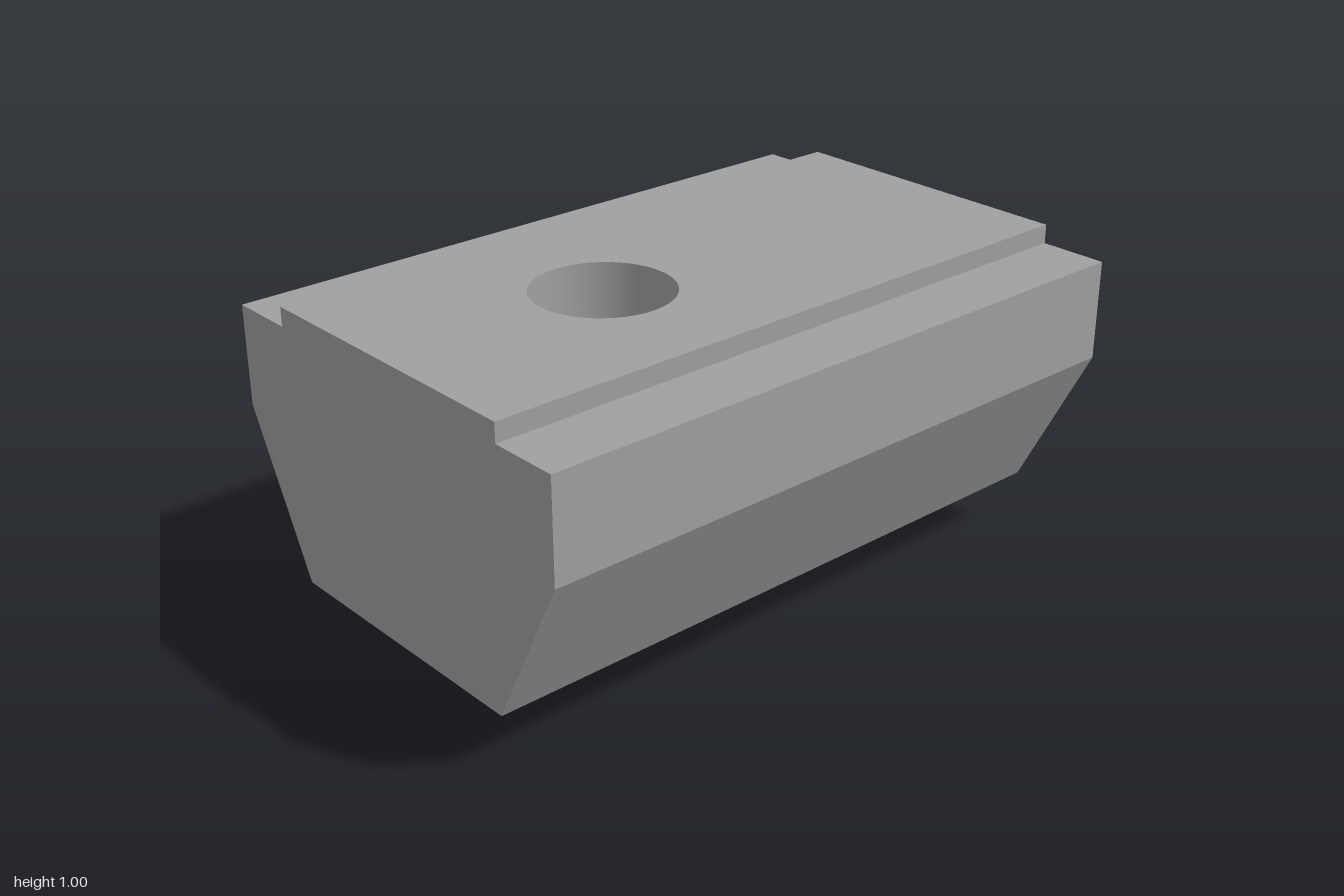
import * as THREE from 'three';

const HALF_LENGTH = 1;
const BOTTOM = 0.178, TOP = 1;
const HOLE = { z: 0.29, r: 0.204 };
const BALL = { z: -0.527, r: 0.176 };

// Right half of the cross-section, from bottom to top; mirrored for the other half
const half = [[0.44, BOTTOM], [0.675, 0.645], [0.675, 0.943], [0.468, 0.943], [0.468, TOP]];
const profile = [...half, ...half.map(([x, y]) => [-x, y]).reverse()];

// Flat rectangle with the round bore cut out
function drilledPlate(halfWidth, holeY) {
  const shape = new THREE.Shape([
    new THREE.Vector2(-halfWidth, -HALF_LENGTH), new THREE.Vector2(halfWidth, -HALF_LENGTH),
    new THREE.Vector2(halfWidth, HALF_LENGTH), new THREE.Vector2(-halfWidth, HALF_LENGTH),
  ]);
  const hole = new THREE.Path();
  hole.absarc(0, holeY, HOLE.r, 0, Math.PI * 2, true);
  shape.holes.push(hole);
  return new THREE.ShapeGeometry(shape, 32);
}

// Long face swept along z from one profile edge
function longFace([ax, ay], [bx, by]) {
  const L = HALF_LENGTH;
  const geometry = new THREE.BufferGeometry();
  geometry.setAttribute('position', new THREE.Float32BufferAttribute(
    [ax, ay, L, ax, ay, -L, bx, by, -L, bx, by, L], 3));
  geometry.setIndex([0, 1, 2, 0, 2, 3]);
  geometry.computeVertexNormals();
  return geometry;
}

export function createModel() {
  const model = new THREE.Group();
  model.name = 'slotNut';
  const metal = new THREE.MeshStandardMaterial({ color: 0xa0a0a0 });
  metal.name = 'grey metal';
  const boreMetal = metal.clone();
  boreMetal.side = THREE.BackSide;

  const add = (name, geometry, x = 0, y = 0, z = 0, material = metal) => {
    const mesh = new THREE.Mesh(geometry, material);
    mesh.name = name;
    mesh.position.set(x, y, z);
    model.add(mesh);
    return mesh;
  };

  // End faces
  const outline = new THREE.Shape(profile.map(([x, y]) => new THREE.Vector2(x, y)));
  add('frontEnd', new THREE.ShapeGeometry(outline), 0, 0, HALF_LENGTH);
  add('backEnd', new THREE.ShapeGeometry(outline).scale(1, 1, 1).rotateY(Math.PI), 0, 0, -HALF_LENGTH);

  // Bevels, sides, ledges and step risers on both sides
  const names = ['Bevel', 'Side', 'Ledge', 'Riser'];
  names.forEach((name, i) => {
    add('left' + name, longFace(profile[i], profile[i + 1]));
    const j = profile.length - 1 - i;
    add('right' + name, longFace(profile[j - 1], profile[j]));
  });

  // Top and bottom with the through bore
  add('topFace', drilledPlate(half[4][0], -HOLE.z).rotateX(-Math.PI / 2), 0, TOP, 0);
  add('bottomFace', drilledPlate(half[0][0], HOLE.z).rotateX(Math.PI / 2), 0, BOTTOM, 0);
  add('bore', new THREE.CylinderGeometry(HOLE.r, HOLE.r, TOP - BOTTOM, 64, 1, true),
    0, (TOP + BOTTOM) / 2, HOLE.z, boreMetal);

  // Spring ball, exposed lower half
  add('springBall', new THREE.SphereGeometry(BALL.r, 48, 16, 0, Math.PI * 2, Math.PI / 2, Math.PI / 2),
    0, BALL.r, BALL.z).scale.y = 1;
  model.getObjectByName('springBall').position.y = BOTTOM;

  return model;
}
